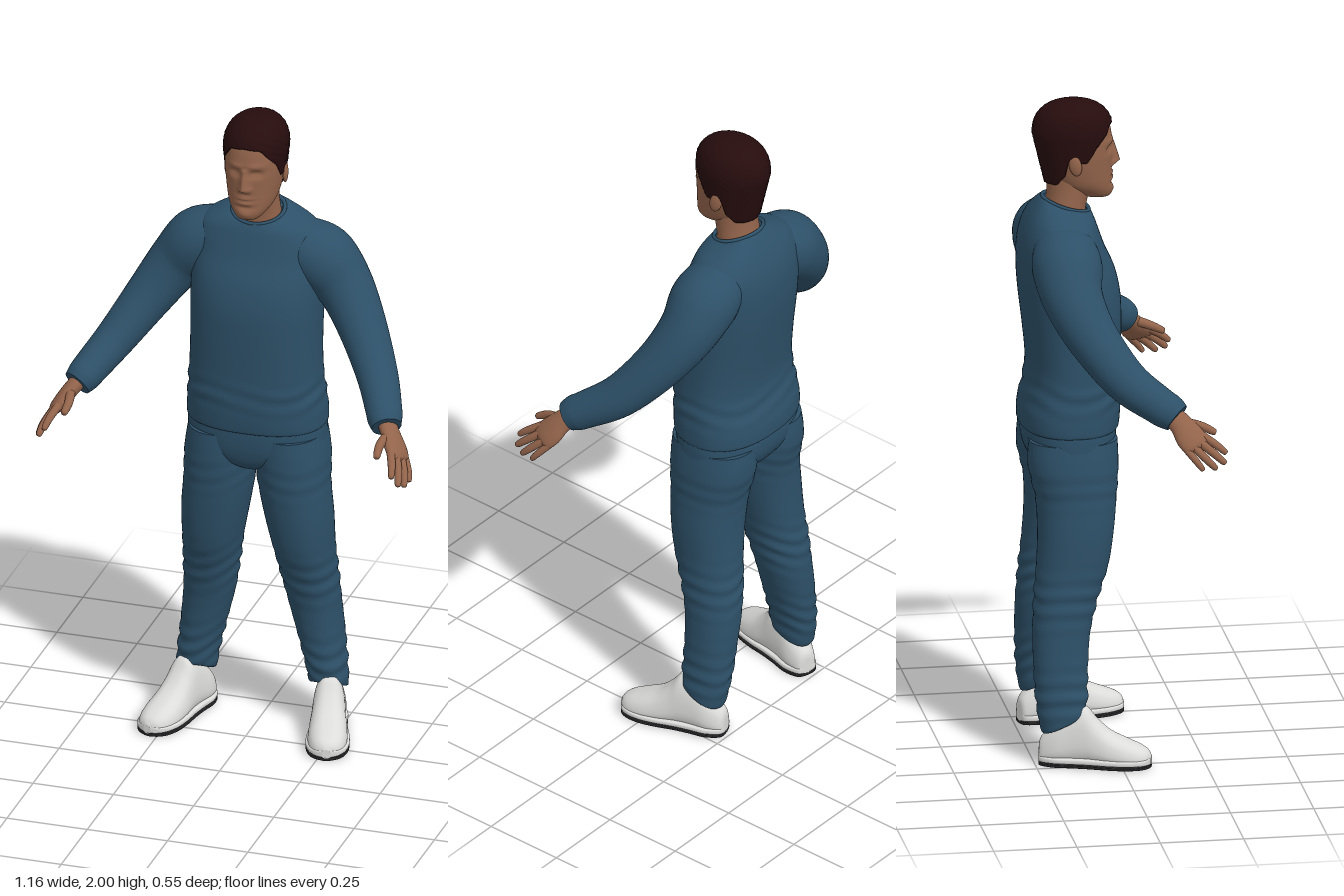
import * as THREE from 'three';

const V = (x, y, z) => new THREE.Vector3(x, y, z);
const mat = (name, color, side = THREE.FrontSide) => {
  const m = new THREE.MeshStandardMaterial({ color, side });
  m.name = name;
  return m;
};
const spow = (v, e) => Math.sign(v) * Math.abs(v) ** e;
const bump = (v, c, w) => Math.exp(-(((v - c) / w) ** 2));

// Smoothly resample a short table of rows (Catmull-Rom on every column)
function resample(rows, n) {
  const at = (i) => rows[Math.max(0, Math.min(rows.length - 1, i))];
  return Array.from({ length: n + 1 }, (_, k) => {
    const f = (k / n) * (rows.length - 1), i = Math.min(Math.floor(f), rows.length - 2), t = f - i;
    return rows[0].map((_, c) => {
      const a = at(i - 1)[c], b = at(i)[c], d = at(i + 1)[c], e = at(i + 2)[c];
      return 0.5 * (2 * b + (d - a) * t + (2 * a - 5 * b + 4 * d - e) * t * t + (3 * b - a - 3 * d + e) * t ** 3);
    });
  });
}

// Skin a list of closed rings, with optional end caps
function skin(rings, caps = true) {
  const n = rings[0].length, pos = rings.flat().flatMap((p) => [p.x, p.y, p.z]), idx = [];
  for (let i = 0; i < rings.length - 1; i++) {
    for (let j = 0; j < n; j++) {
      const a = i * n + j, b = i * n + ((j + 1) % n);
      idx.push(a, b, b + n, a, b + n, a + n);
    }
  }
  if (caps) {
    [rings[0], rings[rings.length - 1]].forEach((ring, end) => {
      const start = pos.length / 3, mid = V(0, 0, 0);
      ring.forEach((p) => { mid.addScaledVector(p, 1 / n); pos.push(p.x, p.y, p.z); });
      pos.push(mid.x, mid.y, mid.z);
      for (let j = 0; j < n; j++) {
        const a = start + j, b = start + ((j + 1) % n);
        if (end) idx.push(a, b, start + n); else idx.push(b, a, start + n);
      }
    });
  }
  const g = new THREE.BufferGeometry();
  g.setAttribute('position', new THREE.Float32BufferAttribute(pos, 3));
  g.setIndex(idx);
  g.computeVertexNormals();
  return g;
}

// Upright form; rows: y, centre x, half width, front z, back z, front tilt
function upright(rows, { n = 40, seg = 48, e = 0.85, rule = null } = {}) {
  return skin(resample(rows, n).map(([y, cx, hx, zf, zb, tilt]) =>
    Array.from({ length: seg }, (_, j) => {
      const a = (j / seg) * Math.PI * 2, c = Math.cos(a);
      const p = V(cx + hx * spow(Math.sin(a), e), y + tilt * c, (zf + zb) / 2 + ((zf - zb) / 2) * spow(c, e));
      if (rule) rule(p, a);
      return p;
    })));
}

// Limb along a path; rows: x, y, z, thickness radius, radius along the hint
function limb(rows, hint, n = 24, seg = 24) {
  const r = resample(rows, n), pt = (i) => V(...r[Math.max(0, Math.min(n, i))].slice(0, 3));
  return skin(r.map((row, i) => {
    const T = pt(i + 1).sub(pt(i - 1)).normalize();
    const v = hint.clone().addScaledVector(T, -T.dot(hint)).normalize(), u = T.clone().cross(v);
    return Array.from({ length: seg }, (_, j) => {
      const a = (j / seg) * Math.PI * 2;
      return pt(i).addScaledVector(u, row[3] * Math.sin(a)).addScaledVector(v, row[4] * Math.cos(a));
    });
  }));
}

function mirrored(g) {
  const m = g.clone().scale(-1, 1, 1), ix = m.index.array;
  for (let i = 0; i < ix.length; i += 3) [ix[i], ix[i + 1]] = [ix[i + 1], ix[i]];
  m.computeVertexNormals();
  return m;
}

export function createModel() {
  const cloth = mat('blue cloth', 0x2d5068), skinTone = mat('skin', 0x93644b);
  const hairMat = mat('dark hair', 0x260c0d, THREE.DoubleSide);
  const white = mat('white leather', 0xdcdcda), black = mat('black rubber', 0x222224);
  const root = new THREE.Group();
  root.name = 'standingMan';
  const add = (name, g, m) => {
    const mesh = new THREE.Mesh(g, m);
    mesh.name = name;
    root.add(mesh);
  };
  const pair = (name, g, m) => { add(name + 'Left', g, m); add(name + 'Right', mirrored(g), m); };

  // Sweater body with gathered folds above the hem
  add('sweaterBody', upright([
    [1.005, 0, 0.205, 0.022, -0.262, 0], [1.012, 0, 0.212, 0.028, -0.268, 0], [1.06, 0, 0.211, 0.032, -0.266, 0],
    [1.13, 0, 0.205, 0.034, -0.25, 0], [1.2, 0, 0.2, 0.034, -0.243, 0], [1.3, 0, 0.198, 0.036, -0.252, 0],
    [1.4, 0, 0.2, 0.034, -0.264, 0], [1.48, 0, 0.2, 0.018, -0.27, 0], [1.55, 0, 0.198, -0.012, -0.268, 0],
    [1.6, 0, 0.194, -0.03, -0.258, 0], [1.64, 0, 0.17, -0.042, -0.24, -0.005], [1.667, 0, 0.125, -0.05, -0.218, -0.014],
    [1.682, 0, 0.082, -0.055, -0.198, -0.022], [1.676, 0, 0.07, -0.065, -0.185, -0.022]],
  { n: 80, seg: 64, rule: (p, a) => {
    const k = 1 + 0.018 * bump(p.y, 1.12, 0.04) * Math.sin(p.y * 110 + 2 * Math.sin(3 * a));
    p.x *= k; p.z = (p.z + 0.115) * k - 0.115;
  } }), cloth);
  const rim = Array.from({ length: 32 }, (_, j) => {
    const a = (j / 32) * Math.PI * 2, c = Math.cos(a);
    return V(0.079 * Math.sin(a), 1.682 - 0.022 * c, -0.126 + 0.069 * c);
  });
  add('collar', new THREE.TubeGeometry(new THREE.CatmullRomCurve3(rim, true), 64, 0.006, 8, true), cloth);

  // Sleeves
  pair('sleeve', limb([
    [0.1, 1.575, -0.145, 0.08, 0.07], [0.14, 1.565, -0.148, 0.098, 0.088], [0.195, 1.53, -0.15, 0.104, 0.102],
    [0.26, 1.46, -0.143, 0.09, 0.086], [0.33, 1.36, -0.095, 0.077, 0.073], [0.405, 1.25, -0.01, 0.066, 0.061],
    [0.455, 1.185, 0.08, 0.057, 0.054], [0.47, 1.165, 0.112, 0.054, 0.051], [0.482, 1.15, 0.132, 0.046, 0.044]],
  V(0.8, 0.6, 0), 48, 36), cloth);

  // Hands: palm, four fingers and a thumb
  const across = V(-0.033, 0.035, 0.06);
  pair('palm', limb([
    [0.47, 1.165, 0.11, 0.026, 0.032], [0.497, 1.134, 0.142, 0.024, 0.036], [0.52, 1.102, 0.165, 0.022, 0.045],
    [0.536, 1.08, 0.182, 0.017, 0.043], [0.542, 1.07, 0.188, 0.008, 0.035]], across, 16, 24), skinTone);
  const fingers = {
    index: [[0.517, 1.104, 0.202], [0.533, 1.077, 0.242], [0.541, 1.052, 0.272], 0.0115],
    middle: [[0.53, 1.09, 0.19], [0.551, 1.055, 0.234], [0.56, 1.026, 0.266], 0.012],
    ring: [[0.54, 1.078, 0.172], [0.562, 1.041, 0.21], [0.57, 1.013, 0.238], 0.0115],
    littleFinger: [[0.545, 1.07, 0.152], [0.566, 1.036, 0.18], [0.573, 1.012, 0.198], 0.01],
    thumb: [[0.494, 1.138, 0.155], [0.484, 1.122, 0.205], [0.487, 1.1, 0.248], 0.0135],
  };
  for (const [name, [a, b, c, r]] of Object.entries(fingers)) {
    const near = c.map((v, i) => v + (b[i] - v) * 0.12);
    pair(name, limb([[...a, r * 1.1, r * 1.1], [...b, r, r], [...near, r * 0.75, r * 0.75], [...c, r * 0.15, r * 0.15]],
      across, 14, 12), skinTone);
  }

  // Trousers: hips and two legs with soft folds at knee and hem
  add('trouserHips', upright([
    [0.865, 0, 0.05, -0.03, -0.19, 0], [0.89, 0, 0.12, 0.0, -0.225, 0], [0.93, 0, 0.2, 0.014, -0.25, 0],
    [0.98, 0, 0.21, 0.019, -0.258, 0], [1.04, 0, 0.203, 0.018, -0.25, 0]], { n: 24 }), cloth);
  pair('trouserLeg', upright([
    [0.13, 0.206, 0.05, -0.1, -0.222, 0.03], [0.14, 0.205, 0.058, -0.096, -0.232, 0.032], [0.2, 0.198, 0.061, -0.092, -0.244, 0.018],
    [0.3, 0.181, 0.069, -0.088, -0.25, 0], [0.4, 0.164, 0.077, -0.078, -0.25, 0], [0.5, 0.152, 0.083, -0.053, -0.244, 0],
    [0.6, 0.141, 0.09, -0.02, -0.235, 0], [0.7, 0.13, 0.1, -0.003, -0.23, 0], [0.8, 0.117, 0.105, 0.007, -0.234, 0],
    [0.9, 0.109, 0.11, 0.014, -0.255, 0], [0.98, 0.105, 0.102, 0.012, -0.252, 0]],
  { n: 90, e: 0.92, rule: (p, a) => {
    const w = bump(p.y, 0.5, 0.07) + bump(p.y, 0.22, 0.07) + 0.5 * bump(p.y, 0.84, 0.05);
    const d = 0.0035 * w * Math.sin(p.y * 120 + 2.5 * Math.sin(a) + 1.5 * Math.cos(2 * a));
    p.x += d * Math.sin(a); p.z += d * Math.cos(a);
  } }), cloth);

  // Shoes, turned outwards; rows: length, half width, height
  const last = [[0, 0.014, 0.06], [0.008, 0.034, 0.085], [0.05, 0.05, 0.13], [0.1, 0.051, 0.175], [0.14, 0.053, 0.18],
    [0.17, 0.056, 0.145], [0.21, 0.061, 0.108], [0.26, 0.062, 0.083], [0.3, 0.053, 0.066], [0.324, 0.036, 0.052],
    [0.335, 0.012, 0.036]];
  const shoe = (bottom, height, grow, e) => skin(resample(last, 40).map(([z, hw, h]) => {
    const top = height ?? h;
    return Array.from({ length: 36 }, (_, j) => {
      const a = (j / 36) * Math.PI * 2, t = 0.5 + 0.5 * spow(Math.cos(a), e);
      const pinch = height ? 1 : 1 - 0.35 * t * t;
      return V(-hw * grow * pinch * spow(Math.sin(a), e), bottom + (top - bottom) * t, z);
    });
  })).rotateY(0.27).translate(0.19, 0, -0.235);
  pair('shoe', shoe(0.008, null, 1, 0.7), white);
  pair('midsole', shoe(0.01, 0.032, 1.05, 0.5), white);
  pair('sole', shoe(0, 0.012, 1.04, 0.4), black);

  // Neck
  add('neck', upright([
    [1.62, 0, 0.075, -0.07, -0.195, 0], [1.68, 0, 0.068, -0.064, -0.187, 0], [1.73, 0, 0.064, -0.052, -0.182, 0],
    [1.8, 0, 0.064, -0.04, -0.18, 0]], { n: 16, e: 1 }), skinTone);

  // Head with a sculpted face
  add('head', upright([
    [1.698, 0, 0.018, -0.003, -0.045, 0], [1.703, 0, 0.036, 0.008, -0.075, 0], [1.722, 0, 0.055, 0.014, -0.12, 0],
    [1.75, 0, 0.071, 0.012, -0.16, 0], [1.8, 0, 0.082, 0.011, -0.192, 0], [1.85, 0, 0.088, 0.012, -0.208, 0],
    [1.9, 0, 0.088, 0.01, -0.21, 0], [1.945, 0, 0.08, -0.004, -0.19, 0], [1.975, 0, 0.05, -0.04, -0.155, 0],
    [1.985, 0, 0.01, -0.09, -0.11, 0]],
  { n: 90, seg: 108, e: 0.93, rule: (p) => {
    if (p.z < -0.05) return;
    const x = Math.abs(p.x), y = p.y, drop = (1.868 - y) / 0.063;
    const ridge = drop < 0 ? 0 : drop < 1 ? 0.25 + 0.75 * drop : Math.max(0, 1 - (drop - 1) * 4);
    p.z += 0.027 * ridge * bump(x, 0, 0.009 + 0.004 * drop)
      + 0.007 * bump(y, 1.8, 0.008) * bump(x, 0.014, 0.007)
      - 0.013 * bump(x, 0.033, 0.018) * bump(y, 1.852, 0.011)
      + 0.005 * bump(x, 0.033, 0.011) * bump(y, 1.85, 0.005)
      + 0.005 * bump(x, 0.03, 0.028) * bump(y, 1.877, 0.009)
      + 0.006 * bump(x, 0, 0.022) * (bump(y, 1.772, 0.005) + bump(y, 1.757, 0.006))
      - 0.004 * bump(x, 0, 0.025) * (bump(y, 1.7645, 0.003) + bump(y, 1.742, 0.006))
      + 0.004 * bump(x, 0, 0.02) * bump(y, 1.72, 0.012);
  } }), skinTone);

  // Ears
  pair('ear', new THREE.SphereGeometry(1, 20, 14).scale(0.009, 0.032, 0.019)
    .rotateX(-0.2).rotateY(0.25).translate(0.088, 1.82, -0.11), skinTone);

  // Short hair: hairline height by angle from the front
  const line = [[0, 1.935], [0.5, 1.928], [0.75, 1.9], [1.05, 1.87], [1.3, 1.825], [1.5, 1.825], [1.6, 1.848],
    [1.78, 1.84], [1.95, 1.785], [2.3, 1.755], [3.15, 1.748]];
  const hairline = (a) => {
    const i = Math.max(1, line.findIndex((q) => q[0] >= a)), [a0, y0] = line[i - 1], [a1, y1] = line[i];
    return y0 + ((y1 - y0) * (a - a0)) / (a1 - a0);
  };
  const hairRings = Array.from({ length: 41 }, (_, i) => Array.from({ length: 96 }, (_, j) => {
    const a = (j / 96) * Math.PI * 2, low = hairline(Math.min(a, Math.PI * 2 - a));
    const y = low + (2 - low) * Math.sin((Math.max(0, i - 1) / 39) * Math.PI / 2);
    const t = Math.max(0, (y - 1.9) / 0.1), under = Math.max(0, 1.9 - y);
    const s = Math.max(0, 1 - t ** 2.4) ** (1 / 2.4) * (i === 0 ? 0.9 : 1);
    const k = s * (1 + 0.012 * Math.sin(a * 23 + y * 90) * Math.sin(y * 210 - a * 9));
    const back = Math.cos(a) < 0 ? 0.121 - 0.24 * under : 0.121;
    return V((0.097 - 0.11 * under) * k * Math.sin(a), y, -0.105 + back * k * Math.cos(a));
  }));
  add('hair', skin(hairRings, false), hairMat);
  return root;
}
